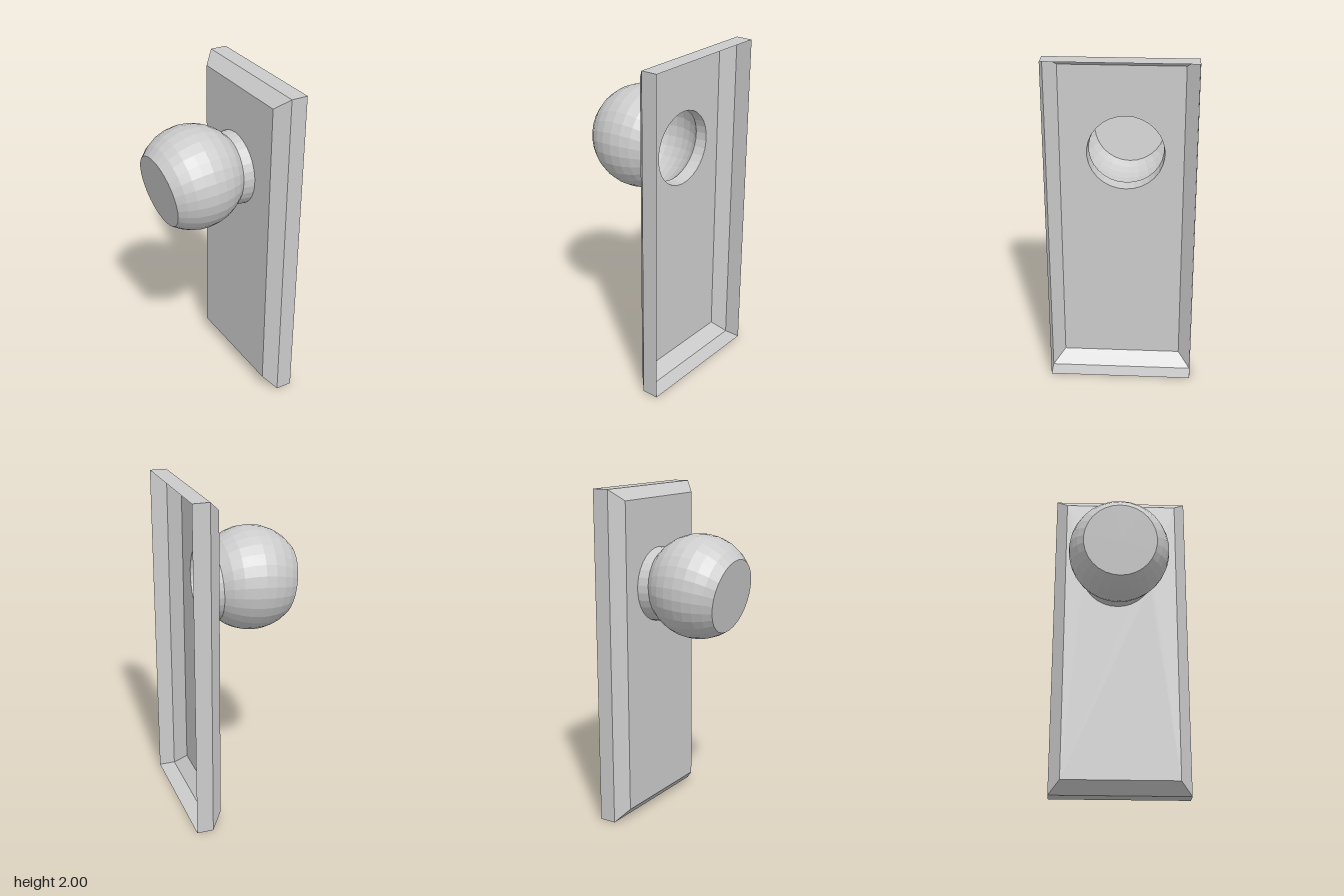
import * as THREE from 'three';

const SEGMENTS = 30;
const PANEL_X = 0.185;
const BALL = new THREE.Vector3(-0.105, 1.428, -0.023);
const BALL_R = 0.309;
const HOLE = new THREE.Vector3(PANEL_X, 1.418, -0.023);
const HOLE_R = 0.223;

const material = new THREE.MeshStandardMaterial({
  color: 0xcccccc, flatShading: true, side: THREE.DoubleSide,
});

// Skin through closed rings of equal point count, running towards -x
function loft(rings) {
  const pos = [];
  const n = rings[0].length;
  for (let i = 0; i < rings.length - 1; i++) {
    for (let j = 0; j < n; j++) {
      const k = (j + 1) % n;
      const a = rings[i][j], b = rings[i + 1][j], c = rings[i + 1][k], d = rings[i][k];
      for (const p of [a, b, d, b, c, d]) pos.push(p.x, p.y, p.z);
    }
  }
  const geo = new THREE.BufferGeometry();
  geo.setAttribute('position', new THREE.Float32BufferAttribute(pos, 3));
  geo.computeVertexNormals();
  return geo;
}

// Circle in a plane facing x, tilted about z, shifted along its own axis
function circle(centre, radius, tilt = 0, shift = 0) {
  const ring = [];
  for (let j = 0; j < SEGMENTS; j++) {
    const a = (j / SEGMENTS) * Math.PI * 2;
    ring.push(new THREE.Vector3(shift, radius * Math.cos(a), radius * Math.sin(a))
      .applyAxisAngle(new THREE.Vector3(0, 0, 1), tilt).add(centre));
  }
  return ring;
}

// Corners of an upright rectangle at a given x
function rect(x, y0, y1, halfZ) {
  return [[y1, -halfZ], [y1, halfZ], [y0, halfZ], [y0, -halfZ]]
    .map(([y, z]) => new THREE.Vector3(x, y, z));
}

export function createModel() {
  const model = new THREE.Group();
  model.name = 'knobOnPlate';
  const add = (name, geo) => {
    const mesh = new THREE.Mesh(geo, material);
    mesh.name = name;
    model.add(mesh);
  };

  // Plate: hollow tray, open towards +x, with chamfered edge
  const inner = rect(PANEL_X, 0.075, 1.935, 0.355);
  add('plateRim', loft([rect(0.355, 0, 2, 0.425), rect(0.255, 0, 2, 0.425), inner]));

  // Panel with the round opening
  const to2D = (p) => new THREE.Vector2(p.z, p.y);
  const holeRing = circle(HOLE, HOLE_R);
  const panel = new THREE.Shape(inner.map(to2D));
  panel.holes.push(new THREE.Path(holeRing.map(to2D)));
  add('platePanel', new THREE.ShapeGeometry(panel).rotateY(-Math.PI / 2).translate(PANEL_X, 0, 0));

  // Ball: rings on a sphere, their tilt growing towards the cut end
  const rings = [];
  const steps = 8;
  const startTilt = -0.045, endTilt = 0.178;
  const startAngle = 0.775, endAngle = Math.PI - 0.79;
  for (let i = 0; i <= steps; i++) {
    const t = i / steps;
    const phi = THREE.MathUtils.lerp(startAngle, endAngle, t);
    const tilt = THREE.MathUtils.lerp(startTilt, endTilt, t);
    rings.push(circle(BALL, BALL_R * Math.sin(phi), tilt, BALL_R * Math.cos(phi)));
  }
  add('ball', loft(rings));

  // Collar between opening and ball
  add('collar', loft([holeRing, rings[0]]));

  // Flat cap closing the cut end
  const cap = new THREE.CircleGeometry(BALL_R * Math.sin(endAngle), SEGMENTS)
    .rotateZ(Math.PI / 2).rotateY(-Math.PI / 2)
    .translate(BALL_R * Math.cos(endAngle), 0, 0)
    .rotateZ(endTilt).translate(BALL.x, BALL.y, BALL.z);
  add('ballCap', cap);

  return model;
}
